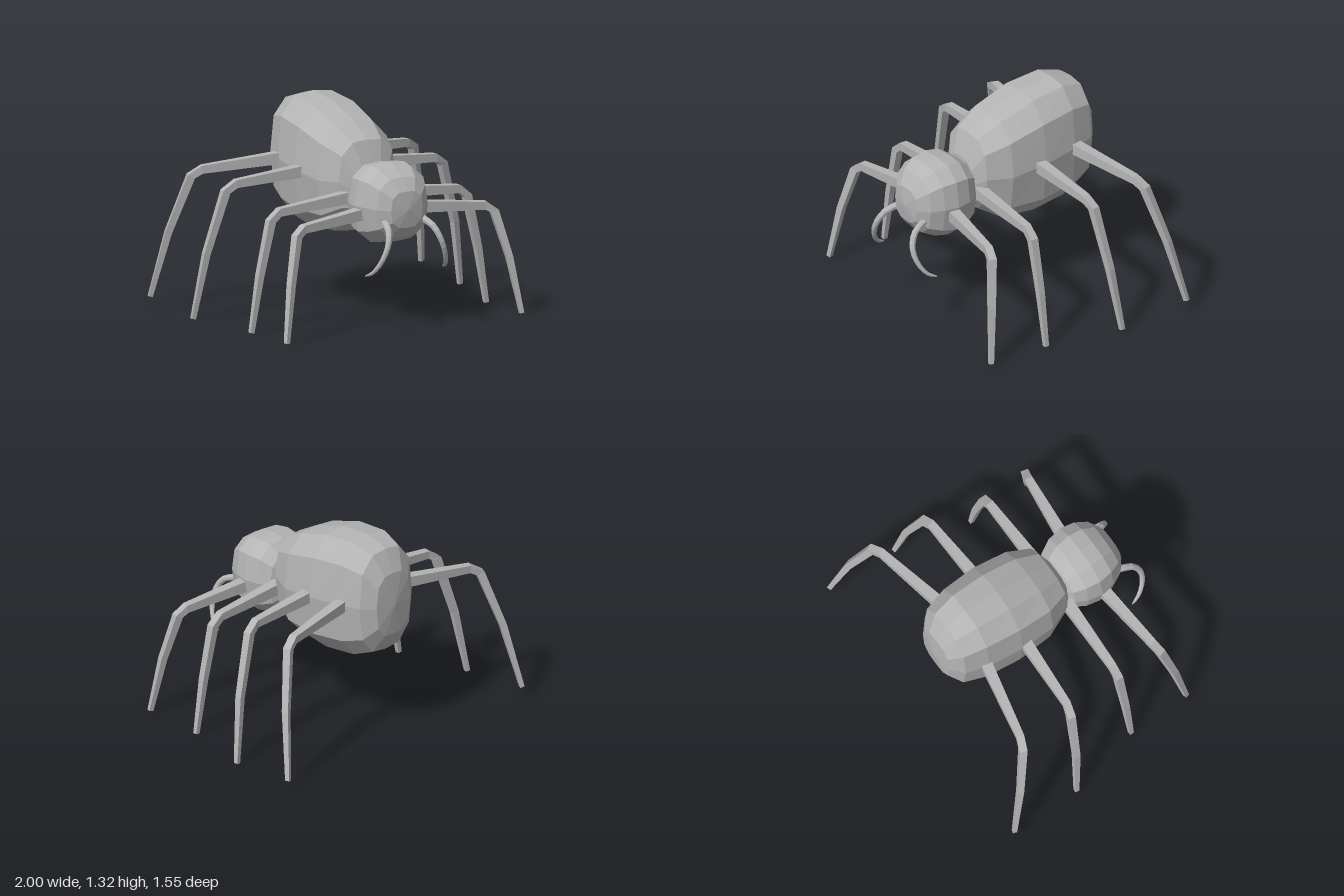
import * as THREE from 'three';

const grey = new THREE.MeshStandardMaterial({ color: 0xb4b4b4, flatShading: true });
grey.name = 'plain grey';

// Skin a list of rings (each counter-clockwise about the direction of travel) and cap both ends
function skin(name, rings, startTip, endTip) {
  const n = rings[0].length;
  const points = [...rings.flat(), startTip, endTip];
  const start = points.length - 2, end = points.length - 1, last = (rings.length - 1) * n;
  const index = [];
  for (let r = 0; r < rings.length - 1; r++) {
    for (let i = 0; i < n; i++) {
      const j = (i + 1) % n, a = r * n, b = a + n;
      index.push(a + i, a + j, b + i, a + j, b + j, b + i);
    }
  }
  for (let i = 0; i < n; i++) {
    const j = (i + 1) % n;
    index.push(start, j, i, end, last + i, last + j);
  }
  const geometry = new THREE.BufferGeometry().setFromPoints(points);
  geometry.setIndex(index);
  geometry.computeVertexNormals();
  const mesh = new THREE.Mesh(geometry, grey);
  mesh.name = name;
  return mesh;
}

// Rounded-box cross-section with twelve corners
const quarter = [[1, 0], [0.89, 0.65], [0.5, 0.96]];
const section = [0, 1, 2, 3].flatMap((q) => quarter.map((_, k) => {
  const [x, y] = q % 2 ? [-quarter[(3 - k) % 3][0], quarter[(3 - k) % 3][1]] : quarter[k];
  if (q === 0) return [x, y];
  if (q === 1) return k === 0 ? [0, 1] : [x, y];
  if (q === 2) return [-x, -y];
  return k === 0 ? [0, -1] : [-x, -y];
}));

// Body from stations running back to front: [z, bottom, top, half width]
function body(name, stations, backZ, frontZ) {
  const rings = stations.map(([z, low, high, w]) => section.map(([x, y]) =>
    new THREE.Vector3(x * w, (low + high) / 2 + y * (high - low) / 2, z)));
  const middle = (s, z) => new THREE.Vector3(0, (s[1] + s[2]) / 2, z);
  return skin(name, rings, middle(stations[0], backZ), middle(stations.at(-1), frontZ));
}

// Tapering limb along a path; 'side' is the sideways axis of its cross-section
function limb(name, path, radii, side, sides, turn) {
  const rings = path.map((p, i) => {
    const before = path[Math.max(i - 1, 0)], after = path[Math.min(i + 1, path.length - 1)];
    const along = after.clone().sub(before).normalize();
    const up = along.clone().cross(side).normalize();
    return Array.from({ length: sides }, (_, k) => {
      const a = turn + (k / sides) * Math.PI * 2;
      return p.clone().addScaledVector(side, Math.cos(a) * radii[i]).addScaledVector(up, Math.sin(a) * radii[i]);
    });
  });
  return skin(name, rings, path[0], path.at(-1));
}

// Leg paths on the left: hip, before knee, after knee, shin, foot
const legs = {
  frontLeg: [[0.15, 0.74, 0.455], [0.66, 0.7, 0.515], [0.715, 0.66, 0.53], [0.79, 0.37, 0.585], [0.85, 0.02, 0.632]],
  secondLeg: [[0.15, 0.79, 0.22], [0.65, 0.75, 0.215], [0.71, 0.7, 0.215], [0.79, 0.36, 0.215], [0.85, 0.01, 0.215]],
  thirdLeg: [[0.2, 0.9, -0.16], [0.72, 0.865, -0.18], [0.785, 0.82, -0.195], [0.9, 0.43, -0.235], [0.967, 0.02, -0.28]],
  backLeg: [[0.18, 0.93, -0.435], [0.74, 0.89, -0.545], [0.805, 0.85, -0.57], [0.91, 0.49, -0.665], [0.982, 0.075, -0.76]],
};
const legRadii = [0.037, 0.025, 0.025, 0.021, 0.014].map((r) => r * Math.SQRT2);

const fangPath = [[0.135, 0.7, 0.62], [0.16, 0.665, 0.71], [0.185, 0.6, 0.75], [0.21, 0.535, 0.755],
  [0.24, 0.46, 0.73], [0.265, 0.405, 0.685], [0.28, 0.38, 0.632]];

export function createModel() {
  const model = new THREE.Group();
  model.name = 'spider';

  model.add(body('abdomen', [
    [-0.655, 0.72, 1.14, 0.14],
    [-0.585, 0.595, 1.28, 0.22],
    [-0.435, 0.53, 1.325, 0.262],
    [-0.2, 0.503, 1.3, 0.283],
    [0.04, 0.528, 1.22, 0.268],
    [0.195, 0.63, 1.13, 0.205],
    [0.25, 0.67, 0.98, 0.13],
  ], -0.675, 0.26));

  model.add(body('head', [
    [0.225, 0.66, 0.89, 0.115],
    [0.265, 0.59, 0.97, 0.185],
    [0.34, 0.55, 1.02, 0.225],
    [0.435, 0.53, 1.035, 0.242],
    [0.53, 0.55, 1.02, 0.225],
    [0.61, 0.59, 0.97, 0.185],
    [0.665, 0.66, 0.89, 0.115],
  ], 0.21, 0.68));

  for (const [label, m] of [['Left', 1], ['Right', -1]]) {
    // Four square-section legs
    for (const [name, points] of Object.entries(legs)) {
      const path = points.map(([x, y, z]) => new THREE.Vector3(m * x, y, z));
      const reach = path.at(-1).clone().sub(path[0]);
      const side = new THREE.Vector3(reach.z, 0, -reach.x).normalize();
      model.add(limb(name + label, path, legRadii, side, 4, Math.PI / 4));
    }
    // Curved fang tapering to a point
    const curve = new THREE.CatmullRomCurve3(fangPath.map(([x, y, z]) => new THREE.Vector3(m * x, y, z)));
    const path = curve.getPoints(12);
    const radii = path.map((_, i) => 0.004 + 0.019 * Math.sqrt(1 - i / 12));
    model.add(limb('fang' + label, path, radii, new THREE.Vector3(0.91 * m, 0.41, 0), 8, 0));
  }
  return model;
}
